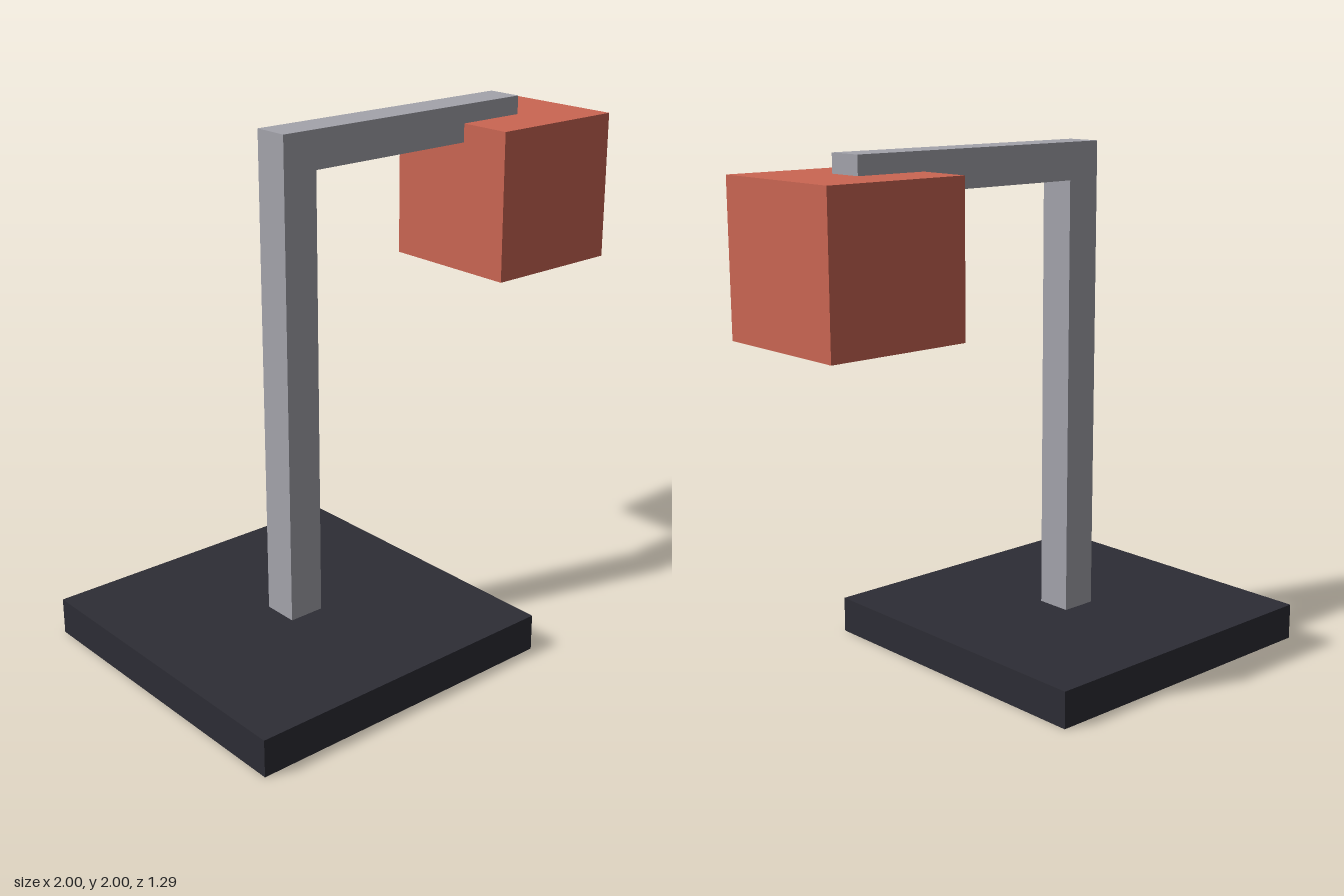
import * as THREE from 'three';

const U = 1 / 14; // design unit: every part lies on this grid

function material(name, color) {
  const m = new THREE.MeshStandardMaterial({ color });
  m.name = name;
  return m;
}

// Box given by its low and high corners in design units
function block(name, mat, [x0, y0, z0], [x1, y1, z1]) {
  const geometry = new THREE.BoxGeometry((x1 - x0) * U, (y1 - y0) * U, (z1 - z0) * U);
  const mesh = new THREE.Mesh(geometry, mat);
  mesh.position.set((x0 + x1) / 2, (y0 + y1) / 2, (z0 + z1) / 2).multiplyScalar(U);
  mesh.name = name;
  return mesh;
}

export function createModel() {
  const charcoal = material('charcoal', 0x2d2d35);
  const grey = material('grey', 0xa4a4ac);
  const terracotta = material('terracotta', 0xcb6653);

  const lamp = new THREE.Group();
  lamp.name = 'deskLamp';

  // Square foot plate
  lamp.add(block('base', charcoal, [-14, 0, -9], [4, 2, 9]));

  // Bracket: upright and the arm lying on top of it
  lamp.add(block('post', grey, [-6, 2, -1], [-4, 26, 1]));
  lamp.add(block('arm', grey, [-6, 26, -1], [10, 28, 1]));

  // Cube shade, with the arm end sunk halfway into its top
  lamp.add(block('shade', terracotta, [6, 19, -4], [14, 27, 4]));

  return lamp;
}
